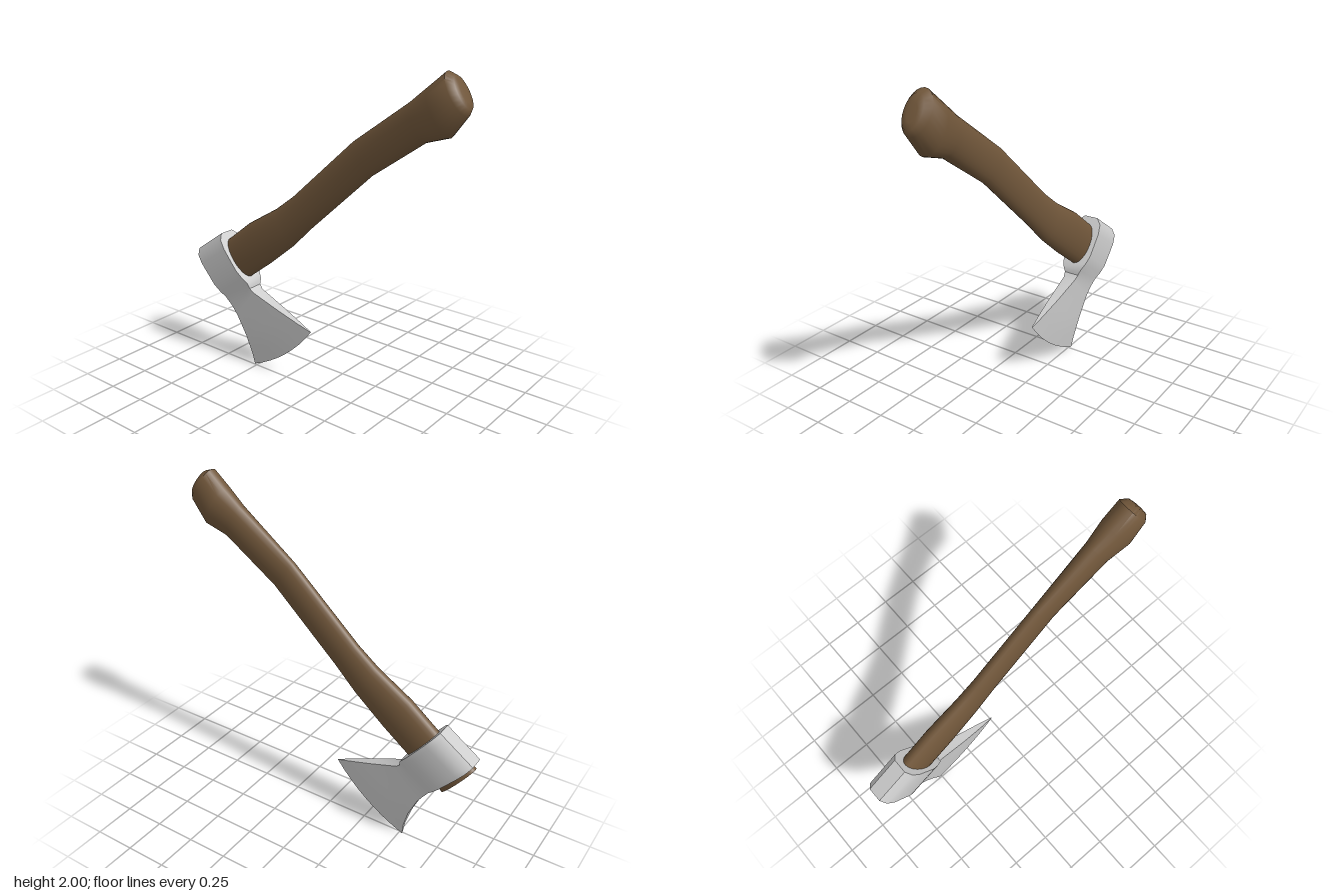
import * as THREE from 'three';
import { toCreasedNormals } from 'three/addons/utils/BufferGeometryUtils.js';

// Skin a list of equal-length rings (counter-clockwise about the direction of travel) and cap both ends
function loft(rings, crease) {
  const n = rings[0].length, pos = [], idx = [];
  rings.forEach(r => r.forEach(p => pos.push(p.x, p.y, p.z)));
  for (let i = 0; i < rings.length - 1; i++) {
    for (let j = 0; j < n; j++) {
      const a = i * n + j, b = i * n + (j + 1) % n;
      idx.push(a, b, b + n, a, b + n, a + n);
    }
  }
  [0, rings.length - 1].forEach(i => {
    const c = new THREE.Vector3();
    rings[i].forEach(p => c.addScaledVector(p, 1 / n));
    const m = pos.length / 3;
    pos.push(c.x, c.y, c.z);
    for (let j = 0; j < n; j++) {
      const a = i * n + j, b = i * n + (j + 1) % n;
      if (i === 0) idx.push(m, b, a);
      else idx.push(m, a, b);
    }
  });
  const g = new THREE.BufferGeometry();
  g.setAttribute('position', new THREE.Float32BufferAttribute(pos, 3));
  g.setIndex(idx);
  return toCreasedNormals(g, crease);
}

// Oval section between an upper and a lower profile point
function ovalRing([ux, uy, lx, ly, hz], sides = 24) {
  return Array.from({ length: sides }, (_, k) => {
    const a = k / sides * Math.PI * 2, c = Math.cos(a) / 2;
    const x = (ux + lx) / 2 + c * (ux - lx);
    const y = (uy + ly) / 2 + c * (uy - ly);
    return new THREE.Vector3(x, y, 0.008 * x + hz * Math.sin(a));
  });
}

// Flat-sided section from the back corner to the top corner, bowed towards the cutting edge
function bladeRing([bx, by, tx, ty, hz, bow], steps = 8) {
  const side = z => Array.from({ length: steps + 1 }, (_, k) => {
    const s = k / steps, f = 4 * s * (1 - s) * bow;
    return new THREE.Vector3(bx + (tx - bx) * s + 0.62 * f, by + (ty - by) * s - 0.79 * f, z - 0.008);
  });
  return [...side(hz).reverse(), ...side(-hz)];
}

export function createModel() {
  const group = new THREE.Group();

  // Curved wooden handle: upper x, y, lower x, y, half thickness
  const handleSections = [
    [-0.94, 0.67, -0.755, 0.44, 0.06],
    [-0.70, 0.82, -0.53, 0.61, 0.064],
    [-0.53, 0.955, -0.365, 0.735, 0.064],
    [-0.31, 1.09, -0.18, 0.89, 0.057],
    [-0.18, 1.19, -0.04, 1.03, 0.052],
    [0.24, 1.575, 0.37, 1.41, 0.049],
    [0.59, 1.83, 0.69, 1.635, 0.067],
    [0.69, 1.915, 0.83, 1.68, 0.087],
    [0.79, 2.0, 0.915, 1.795, 0.082],
    [0.835, 1.985, 0.93, 1.83, 0.055],
    [0.865, 1.945, 0.913, 1.865, 0.028],
  ];
  const handle = new THREE.Mesh(
    loft(handleSections.map(s => ovalRing(s)), 0.9),
    new THREE.MeshStandardMaterial({ color: 0x70563a })
  );
  handle.name = 'handle';
  group.add(handle);

  // Head from poll to cutting edge: back x, y, top x, y, half thickness, bow
  const headSections = [
    [-0.94, 0.71, -0.735, 0.855, 0.045, 0],
    [-0.915, 0.68, -0.71, 0.825, 0.08, 0],
    [-0.875, 0.635, -0.67, 0.776, 0.092, 0],
    [-0.77, 0.517, -0.575, 0.66, 0.092, 0],
    [-0.735, 0.478, -0.54, 0.617, 0.08, 0],
    [-0.70, 0.44, -0.51, 0.58, 0.062, 0],
    [-0.665, 0.39, -0.505, 0.545, 0.048, 0],
    [-0.625, 0.33, -0.48, 0.52, 0.041, 0],
    [-0.565, 0.20, -0.30, 0.453, 0.029, 0.015],
    [-0.53, 0.08, -0.15, 0.398, 0.014, 0.03],
    [-0.52, 0.003, -0.06, 0.365, 0.002, 0.04],
  ];
  const head = new THREE.Mesh(
    loft(headSections.map(s => bladeRing(s)), 0.6),
    new THREE.MeshStandardMaterial({ color: 0xcccccc })
  );
  head.name = 'axeHead';
  group.add(head);

  return group;
}
